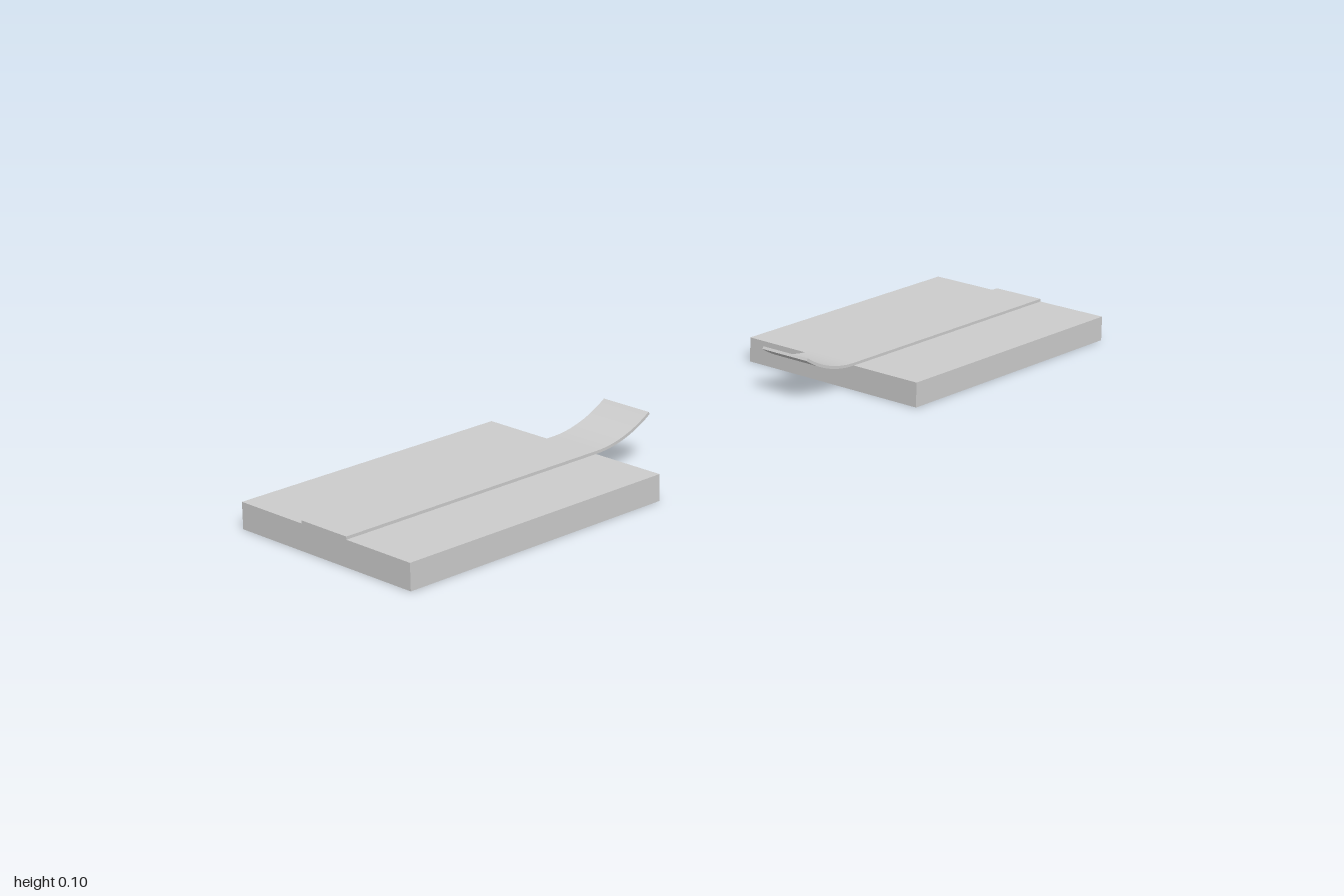
import * as THREE from 'three';

const material = new THREE.MeshStandardMaterial({ color: 0xcccccc });
const slabTop = 0.053, inner = 0.375, stripWidth = 0.12, thickness = 0.006;

// Side profile of the strip: flat on the slab, then an arc rising past the inner edge
function stripGeometry() {
  const angle = 0.58, run = 0.147;
  const radius = run / Math.sin(angle), centreY = slabTop + radius;
  const shape = new THREE.Shape();
  shape.moveTo(-1, slabTop);
  shape.lineTo(-inner, slabTop);
  shape.absarc(-inner, centreY, radius, -Math.PI / 2, -Math.PI / 2 + angle, false);
  shape.absarc(-inner, centreY, radius - thickness, -Math.PI / 2 + angle, -Math.PI / 2, true);
  shape.lineTo(-1, slabTop + thickness);
  shape.closePath();
  const geometry = new THREE.ExtrudeGeometry(shape, { depth: stripWidth, bevelEnabled: false, curveSegments: 16 });
  geometry.translate(0, 0, -stripWidth / 2);
  geometry.rotateY(Math.PI / 2); // profile x becomes -z
  return geometry;
}

// One slab with its strip, lying toward +z
function createHalf(name) {
  const half = new THREE.Group();
  half.name = name;
  const slab = new THREE.Mesh(new THREE.BoxGeometry(0.452, slabTop, 1 - inner), material);
  slab.name = 'slab';
  slab.position.set(0, slabTop / 2, (1 + inner) / 2);
  const strip = new THREE.Mesh(stripGeometry(), material);
  strip.name = 'curvedStrip';
  half.add(slab, strip);
  return half;
}

export function createModel() {
  const model = new THREE.Group();
  model.name = 'pairedSlabs';
  const front = createHalf('frontHalf');
  const back = createHalf('backHalf');
  back.rotation.y = Math.PI;
  model.add(front, back);
  return model;
}
